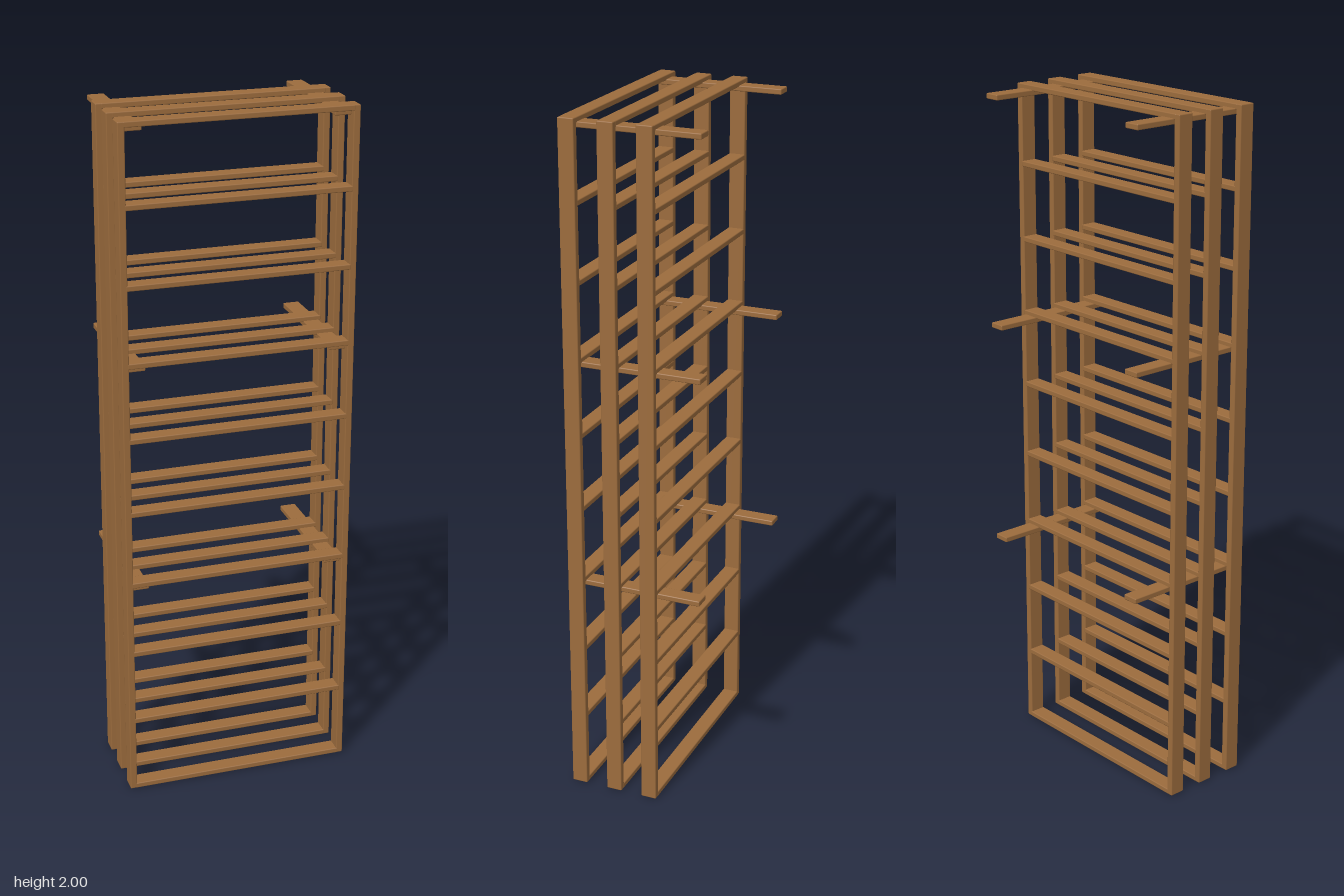
import * as THREE from 'three';
import { RoundedBoxGeometry } from 'three/addons/geometries/RoundedBoxGeometry.js';

const WIDTH = 0.67;       // outer width of a frame
const PLANK = 0.048;      // depth of every plank
const RAIL_T = 0.02;      // upright thickness
const RUNG_T = 0.016;     // rung and bracket thickness
const RUNGS = 10;

export function createModel() {
  const root = new THREE.Group();
  root.name = 'slattedRack';
  const wood = new THREE.MeshStandardMaterial({ color: 0x9c6c3d });
  wood.name = 'brown wood';

  // plank with slightly eased edges
  const plank = (w, h, d) => new RoundedBoxGeometry(w, h, d, 1, 0.003);
  const railGeo = plank(RAIL_T, 2, PLANK - 0.001);
  const rungGeo = plank(WIDTH - RAIL_T * 1.5, RUNG_T, PLANK);
  const bracketGeo = plank(PLANK, RUNG_T, 0.385);

  const add = (parent, geo, name, x, y, z) => {
    const m = new THREE.Mesh(geo, wood);
    m.name = name;
    m.position.set(x, y, z);
    parent.add(m);
  };
  const rungY = (i) => RUNG_T / 2 + (i * (2 - RUNG_T)) / (RUNGS - 1);

  // three ladder frames, front to back
  [['front', 0.173], ['middle', 0.061], ['back', -0.05]].forEach(([label, z]) => {
    const frame = new THREE.Group();
    frame.name = label + 'Frame';
    frame.position.z = z;
    for (const s of [1, -1]) {
      add(frame, railGeo, s > 0 ? 'leftRail' : 'rightRail', s * (WIDTH - RAIL_T) / 2, 1, 0);
    }
    for (let i = 0; i < RUNGS; i++) add(frame, rungGeo, 'rung' + (i + 1), 0, rungY(i), 0);
    root.add(frame);
  });

  // wall brackets tying the frames together under every third rung
  for (const i of [3, 6, 9]) {
    for (const s of [1, -1]) {
      add(root, bracketGeo, s > 0 ? 'leftBracket' : 'rightBracket', s * 0.29, rungY(i) - 0.0125, -0.0075);
    }
  }
  return root;
}
